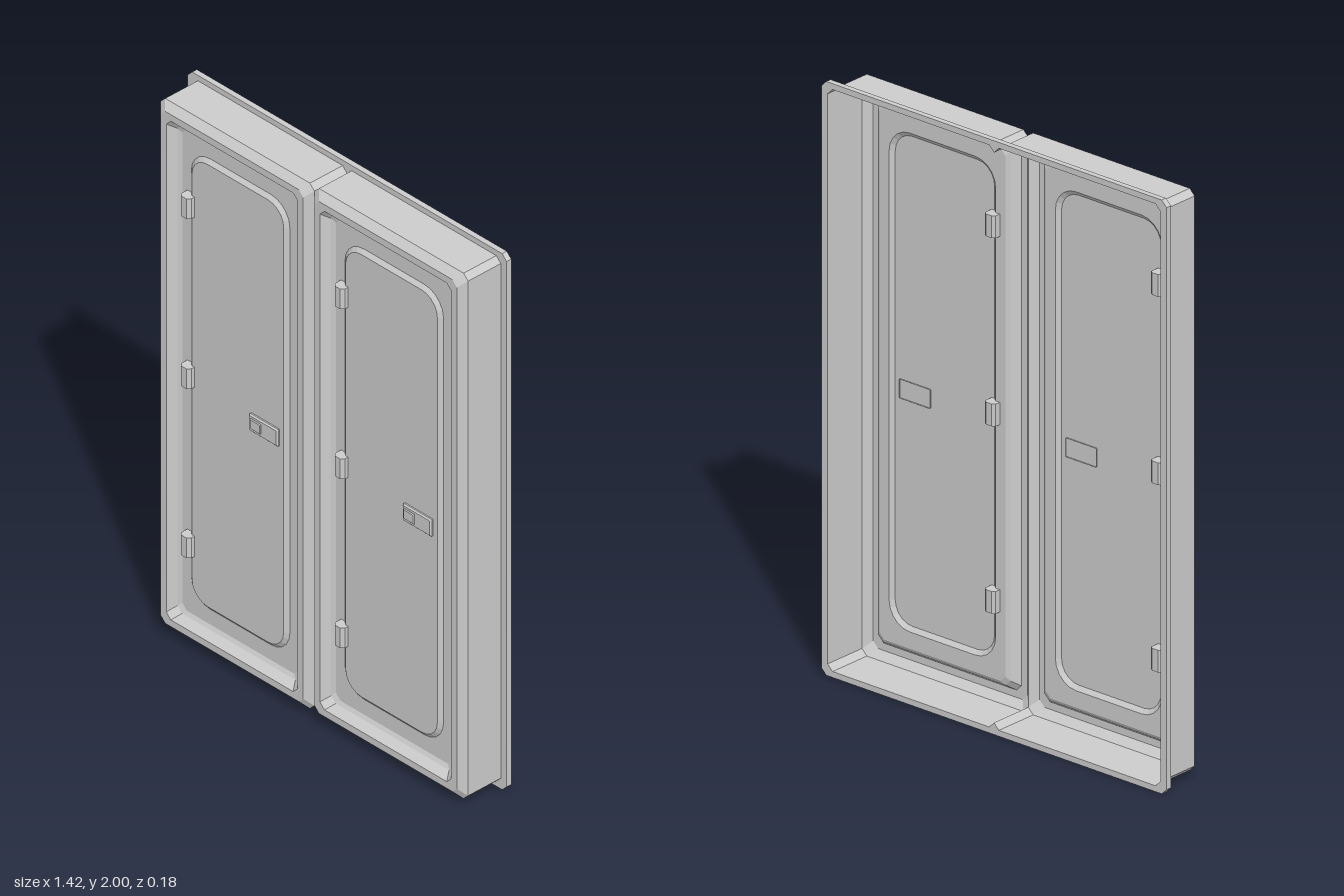
import * as THREE from 'three';

const HW = 0.343, HH = 0.98, CY = 1, CORNER = 0.02;
const FRONT = 0.092, BACK = -0.092, DOOR = 0.055, PANEL = 0.067;
const SEG = 5;
const mat = new THREE.MeshStandardMaterial({ color: 0xcccccc, flatShading: true, side: THREE.DoubleSide });

function add(parent, name, geometry, x = 0, y = 0, z = 0) {
  const m = new THREE.Mesh(geometry, mat);
  m.name = name;
  m.position.set(x, y, z);
  parent.add(m);
  return m;
}

// Rectangle outline, counter-clockwise, with cut or rounded corners
function outline(hw, hh, c, z, round) {
  const pts = [];
  const signs = [[1, 1], [-1, 1], [-1, -1], [1, -1]];
  signs.forEach(([sx, sy], k) => {
    for (let i = 0; i <= SEG; i++) {
      const t = i / SEG;
      let u = 1 - t, v = t;
      if (round) { u = Math.cos(t * Math.PI / 2); v = Math.sin(t * Math.PI / 2); }
      if (k % 2) [u, v] = [v, u];
      pts.push([sx * (hw - c + c * u), sy * (hh - c + c * v), z]);
    }
  });
  return pts;
}

// Joins successive outlines; skipEdge leaves one side of the first band open
function loft(loops, skipEdge, cap) {
  const pos = [];
  const n = loops[0].length;
  for (let l = 0; l + 1 < loops.length; l++) {
    const a = loops[l], b = loops[l + 1];
    for (let i = 0; i < n; i++) {
      if (l === 0 && i === skipEdge) continue;
      const j = (i + 1) % n;
      pos.push(...a[i], ...a[j], ...b[j], ...a[i], ...b[j], ...b[i]);
    }
  }
  if (cap) {
    const last = loops[loops.length - 1];
    for (let i = 0; i < n; i++) pos.push(...last[i], ...last[(i + 1) % n], 0, 0, last[0][2]);
  }
  const g = new THREE.BufferGeometry();
  g.setAttribute('position', new THREE.Float32BufferAttribute(pos, 3));
  g.computeVertexNormals();
  return g;
}

const inset = (d, z, c = CORNER) => outline(HW - d, HH - d, c, z, false);

// Block with bevelled front edges
function plate(hw, hh, z0, z1, bevel) {
  return loft([
    outline(hw, hh, 0.002, z0), outline(hw, hh, 0.002, z1 - bevel),
    outline(hw - bevel, hh - bevel, 0.002, z1),
  ], -1, true);
}

function polygon(points, Type = THREE.Shape) {
  return new Type(points.map(p => new THREE.Vector2(p[0], p[1])));
}

function makeDoor(side) {
  const door = new THREE.Group();
  door.name = side < 0 ? 'rightDoor' : 'leftDoor';
  door.position.set(side * HW, CY, 0);

  // Side walls, bevelled rim, recess and raised centre panel; open where the doors meet
  const openEdge = side < 0 ? 4 * (SEG + 1) - 1 : 2 * (SEG + 1) - 1;
  add(door, 'doorShell', loft([
    inset(0, BACK), inset(0, FRONT - 0.024), inset(0.025, FRONT),
    inset(0.05, FRONT), inset(0.07, DOOR + 0.008), inset(0.083, DOOR),
    outline(0.22, 0.84, 0.085, DOOR, true),
    outline(0.205, 0.825, 0.07, PANEL, true),
  ], openEdge, true));

  // Hinge blocks, reaching through to the back
  const hinge = polygon([[-0.022, -0.015], [-0.022, 0.03], [-0.012, 0.042], [0.012, 0.042],
    [0.022, 0.03], [0.022, -0.015], [0.012, -0.022], [-0.012, -0.022]]);
  const hingeGeo = new THREE.ExtrudeGeometry(hinge, { depth: 0.075, bevelEnabled: false });
  hingeGeo.translate(0, 0, -0.0375).rotateX(Math.PI / 2);
  hingeGeo.scale(1, 1, -1);
  hingeGeo.rotateY(Math.PI);
  for (const y of [-0.628, 0.003, 0.637]) add(door, 'hinge', hingeGeo, -0.215, y, 0.05);

  // Latch plate with its push button
  add(door, 'latchPlate', plate(0.064, 0.032, PANEL - 0.004, PANEL + 0.01, 0.005), 0.122, -0.037);
  add(door, 'latchButton', plate(0.024, 0.019, PANEL, PANEL + 0.014, 0.003), 0.09, -0.037);
  return door;
}

export function createModel() {
  const model = new THREE.Group();
  model.name = 'doubleDoor';
  model.add(makeDoor(-1), makeDoor(1));

  // Mounting flange around the open back, following the notch between the doors
  const w = 2 * HW, c = CORNER;
  const flange = polygon(outline(0.712, 1, 0.02, 0));
  flange.holes.push(polygon([
    [w - c, HH], [c, HH], [0, HH - c], [-c, HH], [c - w, HH], [-w, HH - c],
    [-w, c - HH], [c - w, -HH], [-c, -HH], [0, c - HH], [c, -HH], [w - c, -HH], [w, c - HH], [w, HH - c],
  ], THREE.Path));
  add(model, 'flange', new THREE.ExtrudeGeometry(flange, { depth: 0.02, bevelEnabled: false }), 0, CY, BACK);
  return model;
}
